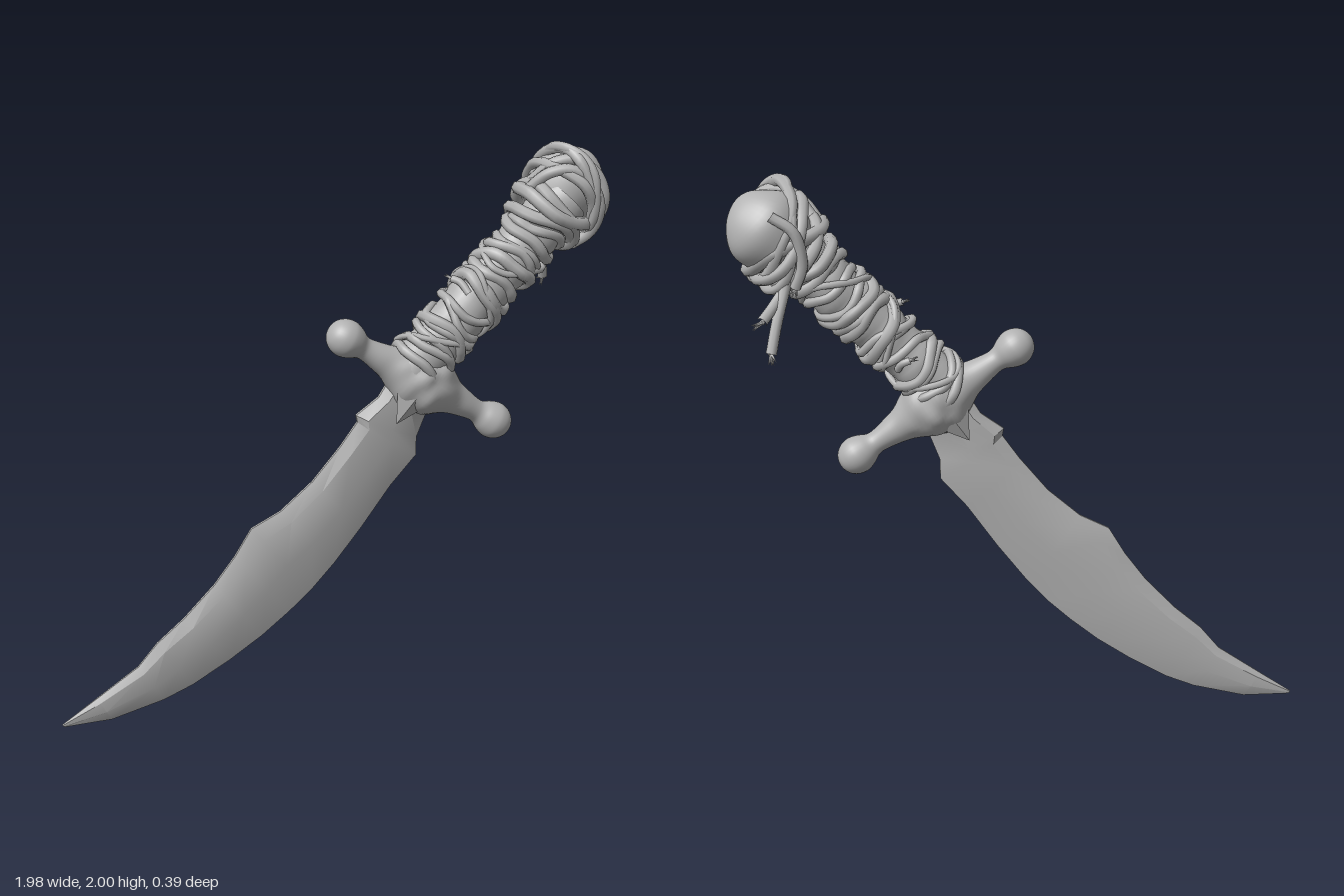
import * as THREE from 'three';
import { mergeVertices, toCreasedNormals } from 'three/addons/utils/BufferGeometryUtils.js';

const steel = new THREE.MeshStandardMaterial({ color: 0xb2b2b2 });
steel.name = 'grey';
const V = (x, y, z) => new THREE.Vector3(x, y, z);

let seed = 7;
const rand = () => ((seed = (seed * 16807) % 2147483647) / 2147483647);

function add(parent, name, geometry) {
  const mesh = new THREE.Mesh(geometry, steel);
  mesh.name = name;
  parent.add(mesh);
  return mesh;
}

// Moves every vertex by a rule and rebuilds seamless smooth normals
function sculpt(geometry, rule) {
  geometry.deleteAttribute('uv');
  geometry.deleteAttribute('normal');
  const g = mergeVertices(geometry, 1e-4);
  const p = g.attributes.position;
  const v = V(0, 0, 0);
  for (let i = 0; i < p.count; i++) {
    rule(v.fromBufferAttribute(p, i));
    p.setXYZ(i, v.x, v.y, v.z);
  }
  g.computeVertexNormals();
  return g;
}

// Curved blade: each station is spine x, y, edge x, y, half thickness
function bladeGeometry() {
  const stations = [
    [-1.0, 0.01, -0.99, 0.0, 0.003], [-0.87, 0.10, -0.82, 0.004, 0.02], [-0.72, 0.205, -0.63, 0.055, 0.026],
    [-0.65, 0.29, -0.525, 0.10, 0.03], [-0.55, 0.377, -0.39, 0.18, 0.032], [-0.44, 0.495, -0.267, 0.265, 0.033],
    [-0.365, 0.597, -0.165, 0.35, 0.033], [-0.305, 0.698, -0.085, 0.425, 0.033], [-0.2, 0.752, 0.0, 0.522, 0.033],
    [-0.085, 0.853, 0.097, 0.65, 0.033], [0.015, 0.976, 0.204, 0.805, 0.034], [0.075, 1.062, 0.295, 0.912, 0.035],
    [0.07, 1.088, 0.295, 0.982, 0.036], [0.15, 1.147, 0.337, 1.094, 0.038], [0.2, 1.23, 0.375, 1.136, 0.04],
  ];
  // Position across the width and share of the thickness
  const ring = [[0, 0.15], [0.16, 0.85], [0.55, 1], [1, 0.04], [1, -0.04], [0.55, -1], [0.16, -0.85], [0, -0.15]];
  const n = ring.length, pos = [], index = [];
  stations.forEach(([sx, sy, ex, ey, h], i) => {
    for (const [k, t] of ring) {
      const x = sx + (ex - sx) * k, y = sy + (ey - sy) * k;
      const along = ((x + 1) * 0.72 + y * 0.69) / 1.52;
      pos.push(x, y, -0.035 + 0.088 * along + t * h);
    }
    if (i === 0) return;
    for (let j = 0; j < n; j++) {
      const a = (i - 1) * n + j, b = (i - 1) * n + (j + 1) % n;
      index.push(a, b, a + n, b, b + n, a + n);
    }
  });
  for (let j = 1; j < n - 1; j++) index.push(0, j + 1, j);
  const g = new THREE.BufferGeometry();
  g.setAttribute('position', new THREE.Float32BufferAttribute(pos, 3));
  g.setIndex(index);
  return toCreasedNormals(g, 0.45);
}

// Uneven cord loop about the handle, tilted across it
function cordLoop(parent, y, rx, rz, tube, tiltX, tiltZ, cz = 0) {
  const pts = [], phase = rand() * 6.28;
  for (let i = 0; i < 14; i++) {
    const a = (i / 14) * Math.PI * 2;
    const r = 1 + (rand() - 0.5) * 0.1;
    const c = Math.cos(a), s = Math.sin(a);
    pts.push(V(c * rx * r, y + c * tiltX + s * tiltZ + Math.sin(a * 3 + phase) * 0.008, cz + s * rz * r));
  }
  add(parent, 'cordWrap', new THREE.TubeGeometry(new THREE.CatmullRomCurve3(pts, true), 56, tube, 7, true));
}

// Loose cord ending in a few frayed strands
function tassel(parent, pts, radius) {
  const curve = new THREE.CatmullRomCurve3(pts);
  add(parent, 'looseCord', new THREE.TubeGeometry(curve, 20, radius, 8));
  const end = curve.getPoint(1), dir = curve.getTangent(1);
  for (let i = 0; i < 5; i++) {
    const d = dir.clone().add(V(rand() - 0.5, rand() - 0.5, rand() - 0.5).multiplyScalar(1.1)).normalize();
    const len = radius * 2.6;
    const strand = add(parent, 'frayedStrand', new THREE.ConeGeometry(radius * 0.5, len, 5));
    strand.quaternion.setFromUnitVectors(V(0, 1, 0), d);
    strand.position.copy(end).addScaledVector(d, len * 0.35);
  }
}

export function createModel() {
  const model = new THREE.Group();
  model.name = 'dagger';
  add(model, 'blade', bladeGeometry());

  // Crossguard with ball ends, swelling to a worn block in the middle
  const guard = new THREE.Group();
  guard.name = 'crossguard';
  guard.position.set(0.305, 1.195, 0.066);
  guard.rotation.z = -2.15;
  model.add(guard);
  const half = [[0.118, 0], [0.112, 0.04], [0.088, 0.09], [0.062, 0.14], [0.049, 0.19], [0.04, 0.24], [0.042, 0.265],
    [0.055, 0.29], [0.064, 0.315], [0.066, 0.335], [0.06, 0.36], [0.044, 0.383], [0.022, 0.396], [0, 0.4]];
  const outline = [...half.slice(1).map(([r, y]) => new THREE.Vector2(r, -y)).reverse(),
    ...half.map(([r, y]) => new THREE.Vector2(r, y))];
  const smooth = new THREE.SplineCurve(outline).getPoints(90).map(p => new THREE.Vector2(Math.max(0, p.x), p.y));
  add(guard, 'guardBar', sculpt(new THREE.LatheGeometry(smooth, 32), v => {
    const mid = Math.max(0, 1 - Math.abs(v.y) / 0.2);
    const bump = 1 + mid * 0.07 * Math.sin(v.y * 55 + v.z * 30) * Math.sin(v.x * 45 + v.z * 25);
    v.x *= bump;
    v.z *= bump * (1 - 0.14 * mid);
  }));
  // Pointed tongues over the root of the blade
  for (const side of [-1, 1]) {
    const tongue = add(guard, 'guardTongue', new THREE.OctahedronGeometry(1, 0));
    tongue.geometry = toCreasedNormals(tongue.geometry, 0.3);
    tongue.scale.set(0.16, 0.1, 0.04);
    tongue.position.set(0.01, -0.02, side * 0.055);
  }

  // Handle frame: local y runs from the guard to the pommel
  const handle = new THREE.Group();
  handle.name = 'handle';
  handle.position.set(0.25, 1.217, 0.065);
  handle.rotation.z = -0.775;
  model.add(handle);

  // Grip core
  add(handle, 'grip', sculpt(new THREE.CylinderGeometry(0.094, 0.09, 0.84, 28, 36, true), v => {
    const k = 1 + 0.05 * Math.sin(v.y * 48 + v.x * 20) + 0.03 * Math.sin(v.y * 90 - v.z * 30);
    v.x *= k;
    v.z *= k * 0.92;
    v.y += 0.4;
  }));

  // Cord bindings along the grip
  for (let i = 0; i < 15; i++) {
    const y = 0.05 + i * 0.044 + (rand() - 0.5) * 0.015;
    const size = 0.093 + rand() * 0.008;
    cordLoop(handle, y, size, size * 0.87, 0.015 + rand() * 0.009, (rand() - 0.5) * 0.07, (rand() - 0.5) * 0.07);
  }
  // Crossing cords
  for (const [y, tx, tz] of [[0.14, 0.05, 0.05], [0.34, -0.07, 0.04], [0.55, 0.06, -0.05]])
    cordLoop(handle, y, 0.105, 0.093, 0.012, tx, tz);

  // Rounded pommel
  add(handle, 'pommel', sculpt(new THREE.SphereGeometry(0.138, 36, 26), v => {
    const k = 1 + 0.025 * Math.sin(v.x * 32 + v.y * 18) * Math.sin(v.z * 30 + 1) + 0.015 * Math.sin(v.y * 50);
    v.multiplyScalar(k);
    v.z = v.z * 0.93 - 0.052;
    v.y += 0.858;
  }));
  // Cords gathered below and across the pommel
  const gathers = [
    [0.70, 0.112, 0.11, 0.022, 0.03, 0.02, -0.01], [0.735, 0.125, 0.122, 0.022, -0.03, 0.03, -0.02],
    [0.775, 0.138, 0.132, 0.024, 0.04, -0.02, -0.02], [0.815, 0.146, 0.138, 0.02, -0.03, 0.05, -0.025],
    [0.85, 0.146, 0.138, 0.02, -0.06, 0.05, -0.025], [0.83, 0.148, 0.14, 0.017, -0.09, 0.07, -0.02],
  ];
  for (const g of gathers) cordLoop(handle, ...g);
  // Cord slung over the front of the pommel
  const sling = [V(-0.13, 0.78, -0.02), V(-0.135, 0.87, 0.03), V(-0.09, 0.93, 0.06), V(0, 0.94, 0.075),
    V(0.08, 0.9, 0.075), V(0.13, 0.83, 0.04), V(0.13, 0.76, 0)];
  for (const lift of [0, -0.04]) {
    const path = new THREE.CatmullRomCurve3(sling.map(p => V(p.x, p.y + lift, p.z - lift * 0.6)));
    add(handle, 'slungCord', new THREE.TubeGeometry(path, 40, 0.02, 8));
  }

  // Loose ends hanging at the back
  tassel(model, [V(0.77, 1.78, -0.08), V(0.80, 1.67, -0.075), V(0.835, 1.56, -0.12), V(0.86, 1.46, -0.155)], 0.018);
  tassel(model, [V(0.75, 1.76, -0.07), V(0.8, 1.66, -0.06), V(0.85, 1.6, -0.11), V(0.885, 1.57, -0.16)], 0.018);
  // Strand running down behind the pommel
  tassel(model, [V(0.84, 1.9, -0.1), V(0.77, 1.85, -0.11), V(0.745, 1.74, -0.1), V(0.77, 1.66, -0.085)], 0.018);
  // Short frayed ends along the grip
  tassel(handle, [V(-0.06, 0.35, 0.06), V(-0.1, 0.36, 0.03), V(-0.125, 0.35, 0.01)], 0.013);
  tassel(handle, [V(0.05, 0.22, -0.07), V(0.02, 0.23, -0.095), V(-0.01, 0.22, -0.105)], 0.013);
  tassel(handle, [V(0.06, 0.07, 0.06), V(0.1, 0.075, 0.03), V(0.115, 0.05, 0.02)], 0.013);
  return model;
}
